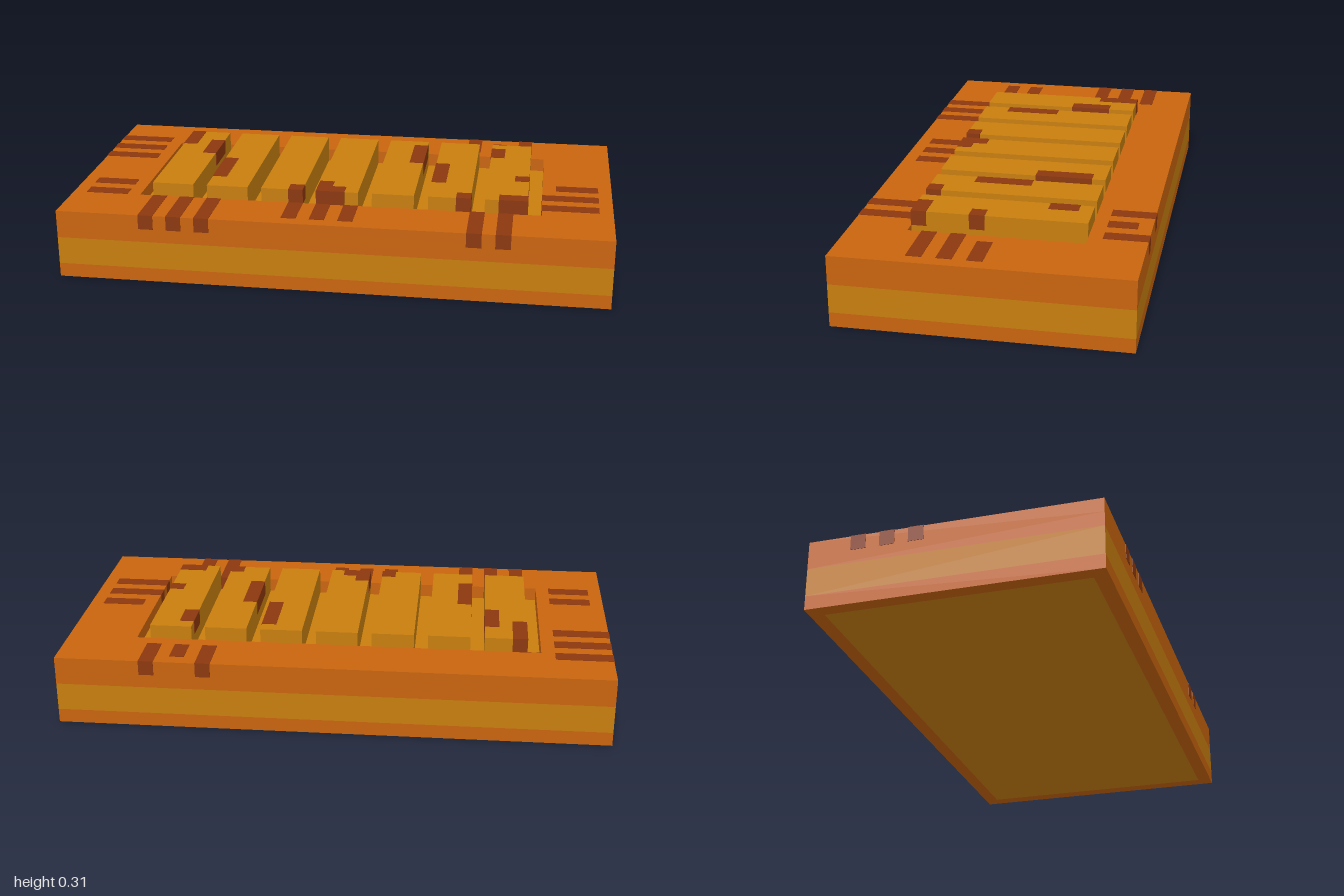
import * as THREE from 'three';

const U = 2 / 39; // one grid cell; the block is 39 x 5 x 20 cells

const mat = (name, color) => {
  const m = new THREE.MeshStandardMaterial({ color });
  m.name = name;
  return m;
};

export function createModel() {
  const orange = mat('orange', 0xc9640d);
  const mustard = mat('mustard', 0xc87e0d);
  const brown = mat('brown', 0x8c380d);
  const model = new THREE.Group();
  model.name = 'slattedBlock';

  // Box given by cell ranges: x0..x1, y0..y1, z0..z1 (end exclusive), grown by g
  const cells = (name, m, x0, x1, y0, y1, z0, z1, g = 0) => {
    const geo = new THREE.BoxGeometry((x1 - x0) * U + g * 2, (y1 - y0) * U + g * 2, (z1 - z0) * U + g * 2);
    const mesh = new THREE.Mesh(geo, m);
    mesh.name = name;
    mesh.position.set(((x0 + x1) / 2 - 19.5) * U, ((y0 + y1) / 2) * U, ((z0 + z1) / 2 - 10) * U);
    model.add(mesh);
  };

  // One-cell-high rectangular frame with a rectangular opening
  const rect = (P, w, d) => {
    const s = new P();
    s.moveTo(-w, -d); s.lineTo(w, -d); s.lineTo(w, d); s.lineTo(-w, d); s.closePath();
    return s;
  };
  const frame = (name, y, w, d) => {
    const shape = rect(THREE.Shape, 19.5 * U, 10 * U);
    shape.holes.push(rect(THREE.Path, w * U, d * U));
    const geo = new THREE.ExtrudeGeometry(shape, { depth: U, bevelEnabled: false });
    geo.rotateX(-Math.PI / 2);
    const mesh = new THREE.Mesh(geo, orange);
    mesh.name = name;
    mesh.position.y = y * U;
    model.add(mesh);
  };

  // Layered body with a shallow tray in the top
  frame('bottomRim', 0, 18.5, 9);
  cells('bottomPanel', mustard, 1, 38, 0, 1, 1, 19);
  cells('middleBand', mustard, 0, 39, 1, 3, 0, 20);
  cells('upperLayer', orange, 0, 39, 3, 4, 0, 20);
  frame('topRim', 4, 14.5, 6);
  cells('trayFloor', mustard, 5, 34, 4, 4.04, 4, 16);

  // Seven raised slats
  for (let i = 0; i < 7; i++) cells('slat', mustard, 6 + i * 4, 9 + i * 4, 4, 6, 4, 16);

  // Dark marks as [x0, x1, z0, z1] in cells, by height
  const rimMarks = [
    [0, 4, 3, 4], [0, 4, 5, 6], [0, 4, 7, 8], [1, 4, 13, 14], [1, 4, 15, 16],
    [28, 29, 0, 3], [30, 31, 1, 3], [32, 33, 0, 3],
    [35, 38, 10, 11], [34, 38, 12, 13], [34, 38, 14, 15],
  ];
  for (const x of [6, 8, 10, 29, 31]) rimMarks.push([x, x + 1, 16, 20]);
  for (const x of [16, 18, 20]) rimMarks.push([x, x + 1, 16, 19]);
  const slatMarks = [
    [6, 7, 4, 7], [8, 9, 6, 9], [10, 11, 10, 14], [24, 25, 5, 9], [26, 27, 9, 13],
    [30, 31, 5, 7], [32, 33, 11, 12], [16, 17, 15, 16], [18, 19, 14, 15],
    [18, 20, 15, 16], [28, 29, 15, 16], [31, 33, 15, 16],
  ];
  const floorMarks = [[5, 6, 5, 6], [33, 34, 15, 16]];
  const addMarks = (name, list, y0, y1) =>
    list.forEach(([x0, x1, z0, z1]) => cells(name, brown, x0, x1, y0, y1, z0, z1, 0.0015));
  addMarks('rimMark', rimMarks, 4, 5);
  addMarks('slatMark', slatMarks, 5, 6);
  addMarks('floorMark', floorMarks, 4, 4.06);

  return model;
}
